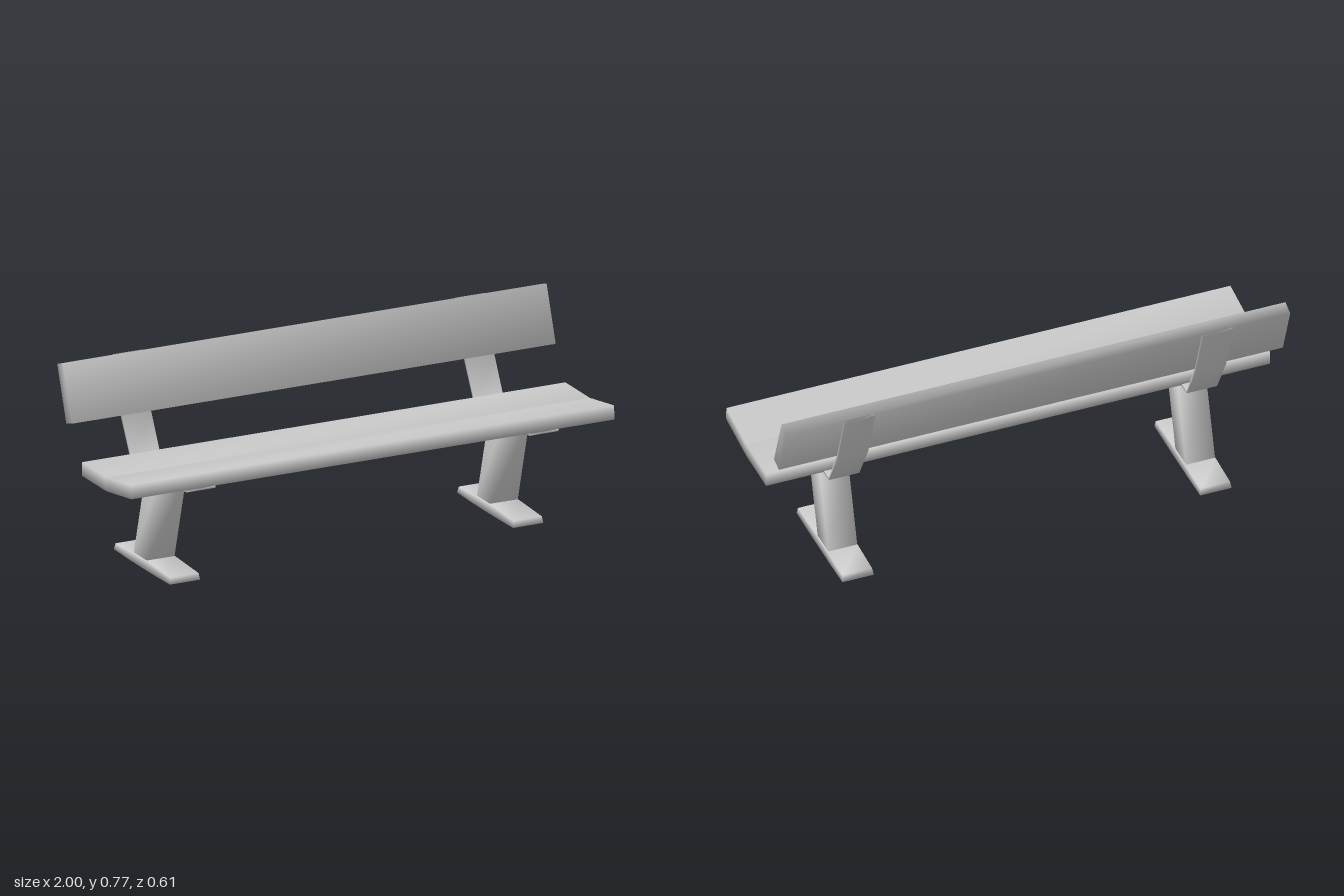
import * as THREE from 'three';
import { mergeVertices } from 'three/addons/utils/BufferGeometryUtils.js';

const material = new THREE.MeshStandardMaterial({ color: 0xcccccc });

// Side profile of [z, y] points, extruded along x and centred, with soft shared normals
function profilePart(name, points, width, reshape) {
  const shape = new THREE.Shape(points.map(([z, y]) => new THREE.Vector2(z, y)));
  let geometry = new THREE.ExtrudeGeometry(shape, { depth: width, bevelEnabled: false });
  geometry.translate(0, 0, -width / 2);
  geometry.rotateY(-Math.PI / 2);
  geometry.deleteAttribute('uv');
  geometry.deleteAttribute('normal');
  geometry = mergeVertices(geometry);
  if (reshape) {
    const p = geometry.attributes.position;
    for (let i = 0; i < p.count; i++) p.setX(i, p.getX(i) * reshape(p.getY(i)));
  }
  geometry.computeVertexNormals();
  const mesh = new THREE.Mesh(geometry, material);
  mesh.name = name;
  return mesh;
}

function createSupport(x) {
  const support = new THREE.Group();
  support.name = x > 0 ? 'leftSupport' : 'rightSupport';

  // Foot plate, narrowing slightly towards its top
  support.add(profilePart('foot', [
    [0.172, 0.003], [0.167, 0.028], [-0.025, 0.036], [-0.13, 0.036], [-0.274, 0.028], [-0.283, 0.003],
    [-0.16, 0], [0.02, 0],
  ], 0.125, (y) => (y > 0.02 ? 0.94 : 1)));

  // Raked leg
  support.add(profilePart('leg', [
    [0.07, 0.374], [-0.035, 0.374], [-0.131, 0.033], [-0.026, 0.033],
  ], 0.115));

  // Bent strap carrying the seat planks and the backrest
  support.add(profilePart('strap', [
    [0.303, 0.411], [0.3, 0.4], [0.12, 0.376], [0.07, 0.372], [-0.035, 0.372], [-0.145, 0.378],
    [-0.233, 0.54], [-0.304, 0.752], [-0.296, 0.757], [-0.222, 0.546], [-0.139, 0.385], [0.11, 0.383],
  ], 0.12));

  support.position.x = x;
  return support;
}

export function createModel() {
  const bench = new THREE.Group();
  bench.name = 'bench';

  // Long planks
  bench.add(profilePart('rearSeatPlank', [
    [0.102, 0.434], [-0.095, 0.434], [-0.095, 0.381], [0.102, 0.381],
  ], 2));
  bench.add(profilePart('frontSeatPlank', [
    [0.298, 0.464], [0.104, 0.434], [0.11, 0.382], [0.305, 0.411],
  ], 2));
  bench.add(profilePart('backrestPlank', [
    [-0.247, 0.773], [-0.295, 0.756], [-0.222, 0.545], [-0.173, 0.56],
  ], 2));

  for (const side of [-1, 1]) bench.add(createSupport(side * 0.71));
  return bench;
}
